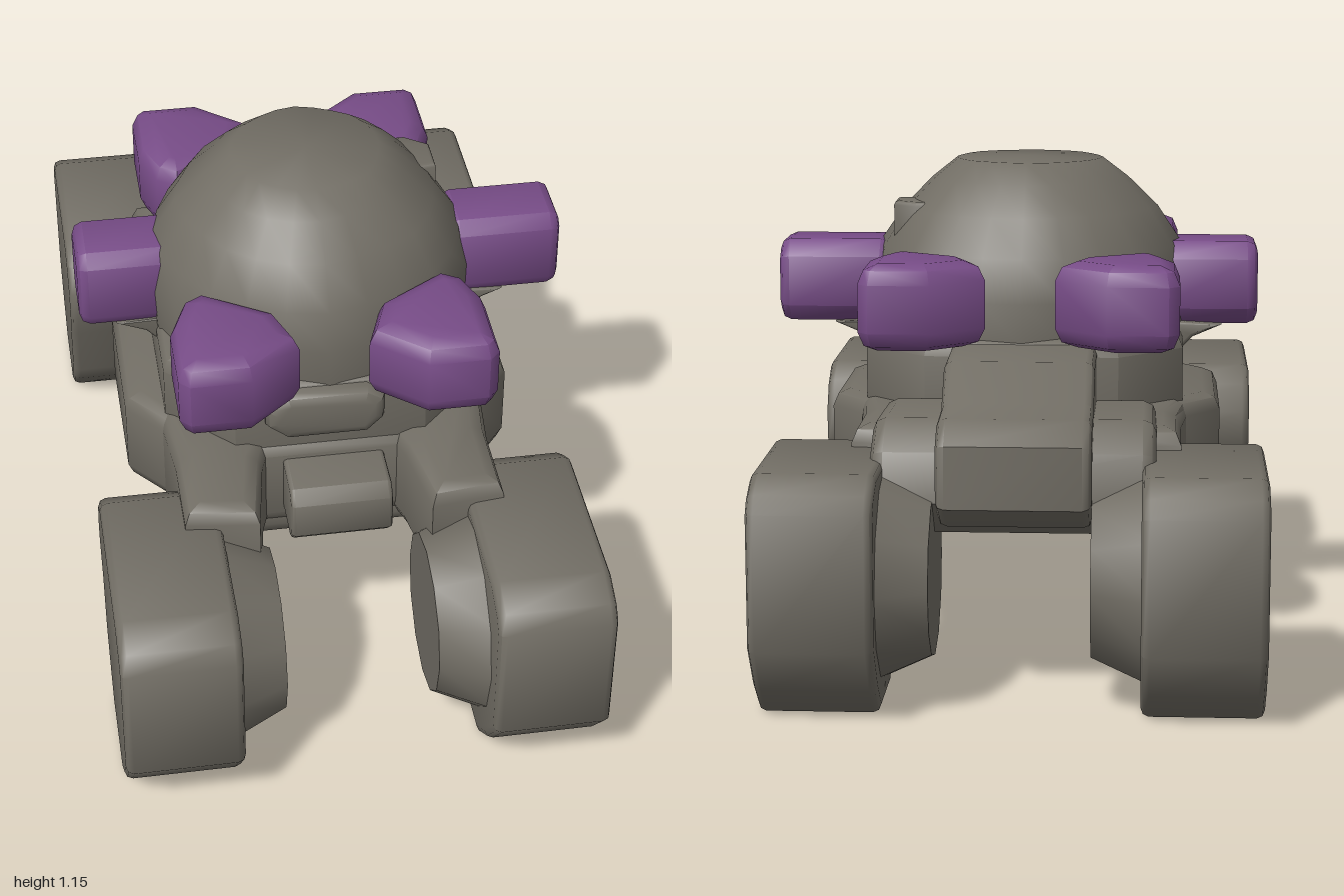
import * as THREE from 'three';
import { toCreasedNormals } from 'three/addons/utils/BufferGeometryUtils.js';

const CX = -0.025; // the hull sits slightly off centre

export function createModel() {
  const model = new THREE.Group();
  const stone = new THREE.MeshStandardMaterial({ color: 0x716d64 });
  stone.name = 'stone grey';
  const purple = new THREE.MeshStandardMaterial({ color: 0x774c87 });
  purple.name = 'purple';

  function add(name, geometry, material = stone) {
    const mesh = new THREE.Mesh(toCreasedNormals(geometry, 0.85), material);
    mesh.name = name;
    model.add(mesh);
  }

  // Bevelled slab: outline is (x, z) for axis y, (z, y) for axis x, (x, y) for axis z
  function slab(name, axis, outline, from, to, bevel = 0.03, material = stone) {
    const flip = axis === 'x' ? -1 : 1;
    const shape = new THREE.Shape(outline.map(([u, v]) => new THREE.Vector2(u * flip, v)));
    const g = new THREE.ExtrudeGeometry(shape, {
      depth: to - from - 2 * bevel, bevelEnabled: true, bevelSize: bevel,
      bevelThickness: bevel, bevelOffset: -bevel, bevelSegments: 2,
    });
    g.translate(0, 0, bevel);
    if (axis === 'x') g.rotateY(Math.PI / 2).translate(from, 0, 0);
    if (axis === 'y') g.rotateX(Math.PI / 2).translate(0, to, 0);
    if (axis === 'z') g.translate(0, 0, from);
    add(name, g, material);
  }

  // Dome with gentle lumps
  const profile = [[0.37, 0.55], [0.375, 0.65], [0.385, 0.74], [0.385, 0.84], [0.365, 0.94],
    [0.305, 1.03], [0.235, 1.1], [0.175, 1.147], [0, 1.15]];
  const dome = new THREE.LatheGeometry(profile.map(([r, y]) => new THREE.Vector2(r, y)), 24);
  const p = dome.attributes.position;
  for (let i = 0; i < p.count; i++) {
    const a = Math.atan2(p.getX(i), p.getZ(i));
    const k = 1 + 0.015 * Math.sin(5 * a + 9 * p.getY(i)) + 0.01 * Math.cos(8 * a);
    p.setX(i, p.getX(i) * k + CX);
    p.setZ(i, p.getZ(i) * k);
  }
  add('dome', dome);
  slab('domeLump', 'y', [[0.1, -0.16], [0.24, -0.16], [0.295, -0.12], [0.295, -0.03], [0.1, 0]],
    0.85, 1.05, 0.01);

  // Hull: lower body, keel and waist
  slab('lowerBody', 'y', [[-0.49, -0.18], [-0.49, 0.18], [-0.39, 0.3], [-0.3, 0.41], [0.25, 0.41],
    [0.34, 0.3], [0.44, 0.18], [0.44, -0.18], [0.34, -0.3], [0.25, -0.46], [-0.3, -0.46],
    [-0.39, -0.3]], 0.345, 0.6, 0.04);
  slab('keel', 'y', [[-0.43, -0.13], [-0.43, 0.17], [-0.3, 0.4], [0.25, 0.4], [0.38, 0.17],
    [0.38, -0.13], [0.25, -0.27], [-0.3, -0.27]], 0.3, 0.42, 0.04);
  slab('waist', 'y', [[-0.4, -0.25], [-0.4, 0.25], [-0.25, 0.4], [0.2, 0.4], [0.35, 0.25],
    [0.35, -0.25], [0.2, -0.4], [-0.25, -0.4]], 0.5, 0.76, 0.04);

  // Front block and lip above it
  slab('frontBlock', 'x', [[0.33, 0.4], [0.52, 0.4], [0.55, 0.43], [0.55, 0.52], [0.52, 0.55],
    [0.33, 0.55]], -0.14, 0.1, 0.01);
  slab('frontLip', 'z', [[-0.18, 0.66], [-0.13, 0.62], [0.06, 0.62], [0.1, 0.66], [0.1, 0.72],
    [0.06, 0.745], [-0.13, 0.745], [-0.18, 0.71]], 0.3, 0.43, 0.025);

  // Rear deck and axle
  slab('rearDeck', 'x', [[-0.3, 0.34], [-0.45, 0.35], [-0.75, 0.4], [-0.85, 0.46], [-0.85, 0.6],
    [-0.79, 0.65], [-0.66, 0.66], [-0.58, 0.74], [-0.3, 0.75]], -0.2, 0.14, 0.02);
  slab('rearAxle', 'x', [[-0.4, 0.35], [-0.72, 0.38], [-0.79, 0.46], [-0.77, 0.57], [-0.68, 0.63],
    [-0.4, 0.62]], -0.34, 0.29, 0.03);

  // Wheel side outline as fractions of its half length and half height
  const tyre = [[-1, 0.3], [-0.84, 0.02], [-0.75, -0.5], [-0.58, -0.74], [-0.33, -1], [0.43, -1],
    [0.72, -0.74], [1, -0.36], [1, 0.74], [0.9, 0.88], [0.66, 1], [-0.66, 1], [-0.88, 0.85],
    [-1, 0.6]];

  for (const s of [1, -1]) {
    const side = s > 0 ? 'left' : 'right';
    const X = (x) => CX + s * x;
    const span = (a, b) => [X(a), X(b)].sort((m, n) => m - n);

    for (const f of [1, -1]) {
      const end = f > 0 ? 'Front' : 'Rear';
      const cz = f > 0 ? 0.7 : -0.725;
      const half = f > 0 ? 0.3 : 0.275;

      slab(`${side}${end}Wheel`, 'x',
        tyre.map(([u, v]) => [cz + f * u * half, 0.275 + v * 0.275]), ...span(0.285, 0.557), 0.018);

      // Tapered hub on the wheel's inner face
      const hub = new THREE.CylinderGeometry(0.25, 0.19, 0.13, 12);
      hub.rotateZ(-s * Math.PI / 2).translate(X(0.24), 0.29, cz);
      add(`${side}${end}Hub`, hub);

      // Arm from hull to wheel
      slab(`${side}${end}Arm`, 'y', [[0.4, 0.12], [0.37, 0.42], [0.37, 0.62], [0.2, 0.64],
        [0.17, 0.45], [0.12, 0.3]].map(([x, z]) => [X(x), f * z]), 0.33, 0.6, 0.04);

      // Diagonal pod with chamfered edges
      slab(`${side}${end}Pod`, 'y', [[0.365, 0.525], [0.34, 0.55], [0.2, 0.55], [0.08, 0.45],
        [0.12, 0.34], [0.28, 0.24], [0.33, 0.27], [0.365, 0.36]].map(([x, z]) => [X(x), f * z]),
        0.75, 0.95, 0.045, purple);
    }

    // Side pod and the bracket beneath it
    slab(`${side}SidePod`, 'x', [[-0.1, 0.79], [-0.06, 0.75], [0.08, 0.75], [0.1, 0.78],
      [0.1, 0.92], [0.07, 0.95], [-0.06, 0.95], [-0.1, 0.91]],
      s > 0 ? 0.31 : -0.58, s > 0 ? 0.58 : -0.31, 0.025, purple);
    slab(`${side}PodBracket`, 'z', [[0.3, 0.62], [0.4, 0.72], [0.47, 0.75], [0.3, 0.76]]
      .map(([x, y]) => [X(x), y]), -0.09, 0.09, 0.008);
  }
  return model;
}
